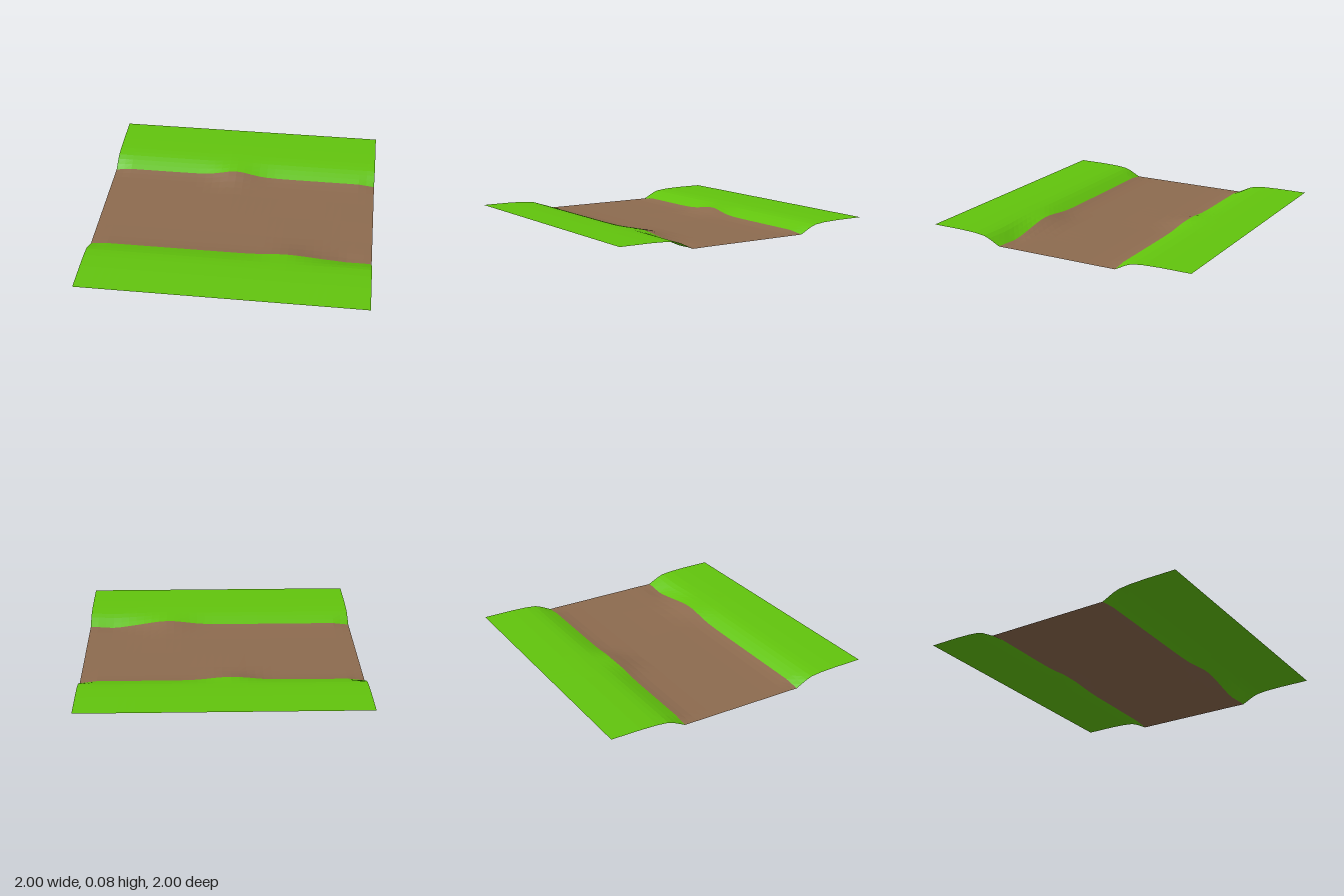
import * as THREE from 'three';

const bell = (x, centre, width) => Math.exp(-(((x - centre) / width) ** 2));
const smooth = (t) => { t = Math.min(1, Math.max(0, t)); return t * t * (3 - 2 * t); };

// Piecewise linear lookup in a list of [distance, height] points
function heightAt(profile, d) {
  for (let i = 1; i < profile.length; i++) {
    const [a, ya] = profile[i - 1], [b, yb] = profile[i];
    if (d <= b) return ya + (yb - ya) * (d - a) / (b - a);
  }
  return profile[profile.length - 1][1];
}

// Cross-sections by distance from the river's centre line
const steep = [[0, 0.01], [0.455, 0.01], [0.5, 0.033], [0.54, 0.053], [0.58, 0.067], [0.66, 0.076], [0.78, 0.08], [1, 0.08]];
const soft = [[0, 0.01], [0.25, 0.01], [0.36, 0.013], [0.41, 0.019], [0.455, 0.028], [0.52, 0.05], [0.58, 0.066], [0.64, 0.075], [0.78, 0.08], [1, 0.08]];
const bump = [[0, 0.01], [0.22, 0.011], [0.3, 0.018], [0.36, 0.029], [0.41, 0.042], [0.455, 0.054], [0.52, 0.063], [0.58, 0.07], [0.68, 0.078], [0.78, 0.08], [1, 0.08]];

function ground(x, z) {
  const d = Math.abs(z), front = z > 0;
  // Sharp bank at the tile borders, easing to a gentle one inside
  let ease = smooth((1 - Math.abs(x)) / 0.12) * 0.8;
  if (front) ease *= 1 - 0.9 * bell(x, 0.82, 0.17);
  const rise = front ? 0.8 * bell(x, 0.4, 0.18) : bell(x, -0.06, 0.17);
  let y = THREE.MathUtils.lerp(heightAt(steep, d), heightAt(soft, d), ease);
  y = THREE.MathUtils.lerp(y, heightAt(bump, d), rise);
  // Small hollow at the foot of the front bank
  if (front) y -= 0.008 * bell(x, 0.85, 0.1) * bell(z, 0.43, 0.05);
  return Math.max(0, y);
}

// Winding shore lines
const frontEdge = (x) => 0.455 + 0.01 * bell(x, 0.38, 0.2) - 0.009 * bell(x, 0.8, 0.15);
const backEdge = (x) => -0.455 - 0.017 * bell(x, -0.06, 0.11);

// Sheet whose rows run between two lines, with the given row fractions
function strip(name, from, to, rows, material) {
  const columns = 34, positions = [], index = [];
  rows.forEach((t) => {
    for (let i = 0; i <= columns; i++) {
      const x = -1 + 2 * i / columns;
      const z = THREE.MathUtils.lerp(from(x), to(x), t);
      positions.push(x, ground(x, z), z);
    }
  });
  const n = columns + 1;
  for (let r = 0; r < rows.length - 1; r++) {
    for (let i = 0; i < columns; i++) {
      const a = r * n + i, b = a + n;
      index.push(a, b, a + 1, a + 1, b, b + 1);
    }
  }
  const geometry = new THREE.BufferGeometry();
  geometry.setAttribute('position', new THREE.Float32BufferAttribute(positions, 3));
  geometry.setIndex(index);
  geometry.computeVertexNormals();
  const mesh = new THREE.Mesh(geometry, material);
  mesh.name = name;
  return mesh;
}

export function createModel() {
  const make = (name, color) => {
    const m = new THREE.MeshStandardMaterial({ color, side: THREE.DoubleSide, flatShading: true });
    m.name = name;
    return m;
  };
  const grass = make('grass green', 0x62c40d);
  const earth = make('earth brown', 0x8d6b4f);

  const bankRows = [0, 0.08, 0.155, 0.23, 0.3, 0.38, 0.47, 0.6, 1];
  const bedRows = [0, 0.05, 0.105, 0.17, 0.25, 0.5, 0.75, 0.83, 0.895, 0.95, 1];

  const group = new THREE.Group();
  group.name = 'riverbedTile';
  group.add(
    strip('riverBed', backEdge, frontEdge, bedRows, earth),
    strip('frontBank', frontEdge, () => 1, bankRows, grass),
    strip('backBank', () => -1, backEdge, bankRows.map((t) => 1 - t).reverse(), grass),
  );
  return group;
}
